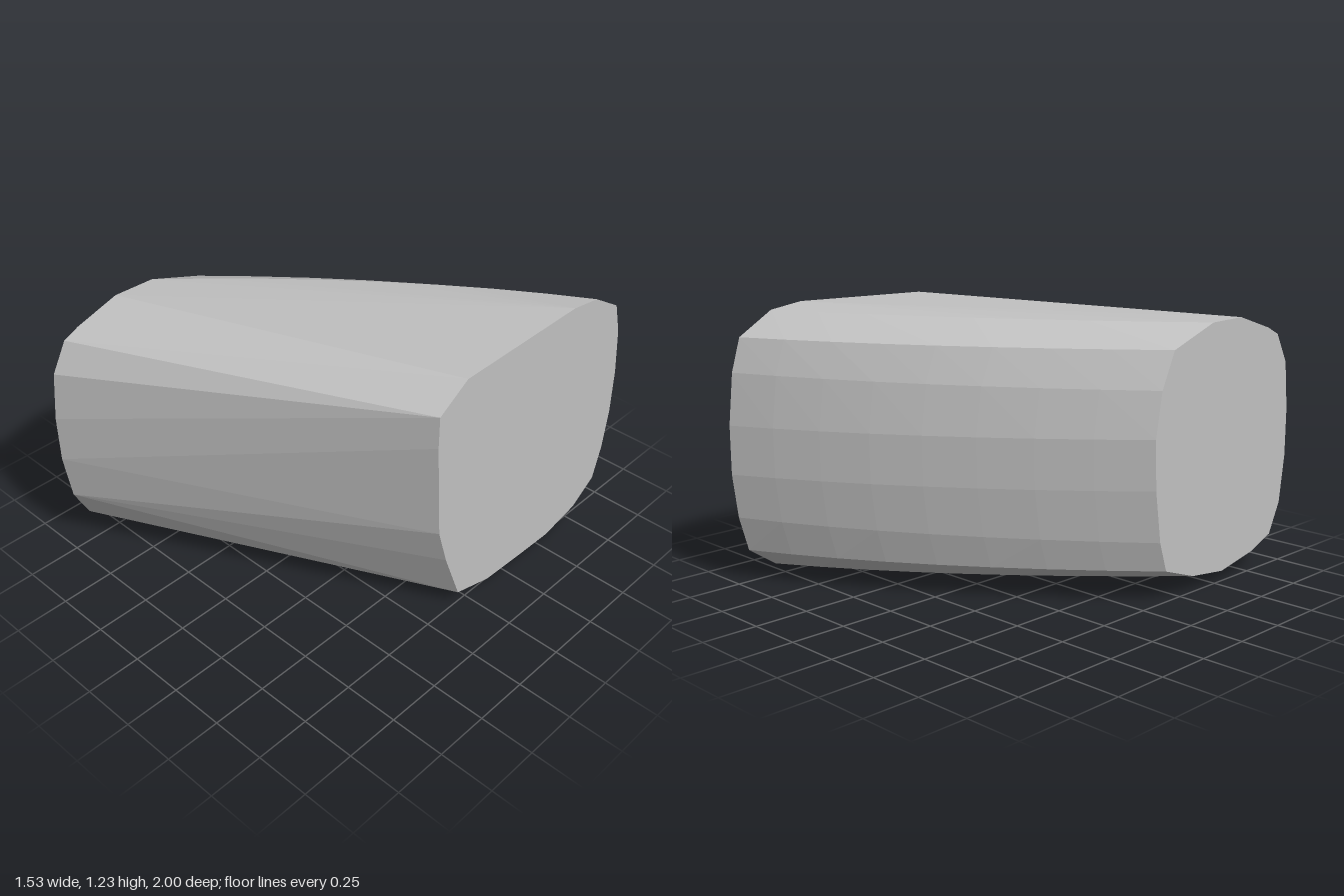
import * as THREE from 'three';
import { ConvexGeometry } from 'three/addons/geometries/ConvexGeometry.js';

const HALF = 0.765;

// End outlines as [z, y]
const rightEnd = [
  [0.26, 1.12], [0.26, 0.97], [0.225, 0.51], [0.17, 0.33], [0.07, 0.075], [-0.14, 0.015],
  [-0.37, 0.005], [-0.58, 0], [-0.6, 1.23], [0.1, 1.22],
];
const leftEnd = [
  [0.53, 0.055], [0.75, 0.095], [0.895, 0.15], [0.965, 0.29], [0.995, 0.51], [0.995, 0.73],
  [0.97, 0.95], [0.895, 1.085], [0.82, 1.12], [0.61, 1.185],
];

// Bowed back rows: [left z, left y, right z, right y]
const backRows = [
  [0.32, 0.08, -0.79, 0.045], [0.13, 0.145, -0.93, 0.14], [0.085, 0.28, -0.975, 0.3],
  [0.05, 0.51, -1, 0.5], [0.04, 0.73, -1, 0.72], [0.075, 0.93, -0.975, 0.95],
  [0.15, 1.09, -0.93, 1.1], [0.41, 1.18, -0.76, 1.205],
];

export function createModel() {
  const group = new THREE.Group();
  const grey = new THREE.MeshStandardMaterial({ color: 0xc0c0c0 });
  grey.name = 'plain grey';

  const points = [];
  for (const [z, y] of rightEnd) points.push(new THREE.Vector3(HALF, y, z));
  for (const [z, y] of leftEnd) points.push(new THREE.Vector3(-HALF, y, z));

  // Sweep each back row from end to end with a gentle outward bow
  const steps = 8;
  for (const [z0, y0, z1, y1] of backRows) {
    for (let i = 0; i <= steps; i++) {
      const t = i / steps;
      const bow = 0.085 * 4 * t * (1 - t);
      points.push(new THREE.Vector3(
        THREE.MathUtils.lerp(-HALF, HALF, t),
        THREE.MathUtils.lerp(y0, y1, t),
        THREE.MathUtils.lerp(z0, z1, t) - bow,
      ));
    }
  }

  // Faceted solid skin around the outlines
  const body = new THREE.Mesh(new ConvexGeometry(points), grey);
  body.name = 'body';
  group.add(body);
  return group;
}
